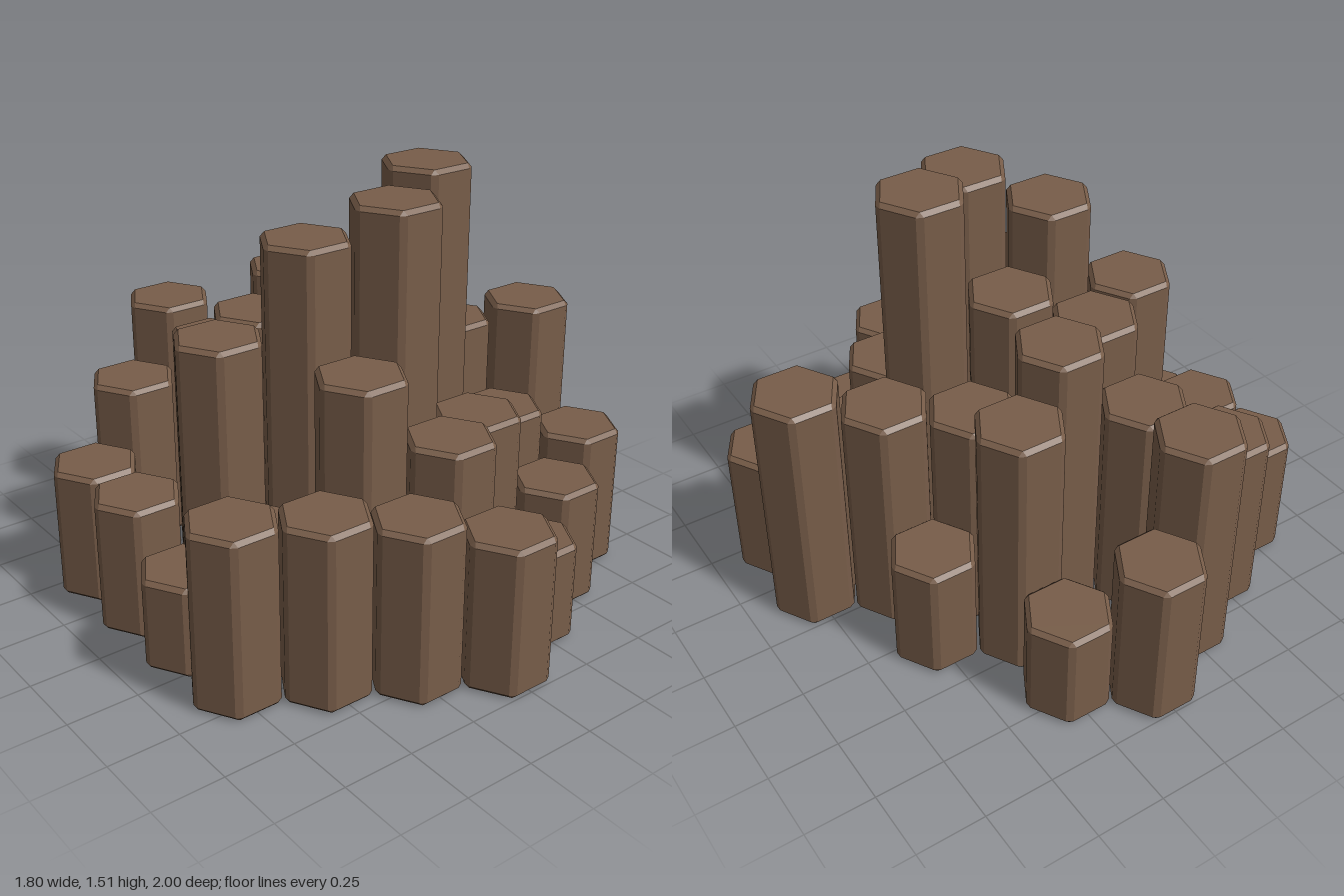
import * as THREE from 'three';
import { ConvexGeometry } from 'three/addons/geometries/ConvexGeometry.js';

const STEP = 0.287;                      // distance between neighbouring columns
const DX = STEP * Math.sqrt(3) / 2;
const APOTHEM = 0.1385, BEVEL = 0.015;

// Hexagon corners, flat sides facing +z and -z
function hexCorners(apothem, y) {
  const r = apothem / Math.cos(Math.PI / 6);
  return Array.from({ length: 6 }, (_, i) =>
    new THREE.Vector3(r * Math.cos(i * Math.PI / 3), y, r * Math.sin(i * Math.PI / 3)));
}

// Hexagon with each corner cut back by the bevel
function cutHex(y) {
  const c = hexCorners(APOTHEM, y);
  const side = c[0].distanceTo(c[1]);
  return c.flatMap((p, i) => [c[(i + 5) % 6], c[(i + 1) % 6]]
    .map(q => p.clone().lerp(q, BEVEL / side)));
}

// Hexagonal prism with all edges chamfered
function columnGeometry(h) {
  return new ConvexGeometry([
    ...hexCorners(APOTHEM - BEVEL, 0), ...cutHex(BEVEL),
    ...cutHex(h - BEVEL), ...hexCorners(APOTHEM - BEVEL, h),
  ]);
}

// Column heights per row of x, from back to front; 0 marks a gap
const rows = [
  { i: -3, z: -1.5, heights: [0.48, 0.48, 0.33, 0.63] },
  { i: -2, z: -2, heights: [0.69, 0, 1.025, 0.455, 0.63] },
  { i: -1, z: -2.5, heights: [0.9, 0.84, 1.02, 1.345, 0.975, 0.6] },
  { i: 0, z: -3, heights: [0.585, 0, 1.09, 1.13, 1.46, 0.745, 0.535] },
  { i: 1, z: -2.5, heights: [0.38, 0.96, 0.835, 1.515, 0.71, 0.355] },
  { i: 2, z: -1, heights: [0.44, 0.865, 0.61, 0.44] },
  { i: 3, z: 0.5, heights: [0.925, 0.52] },
];

export function createModel() {
  const model = new THREE.Group();
  model.name = 'basaltColumns';
  const stone = new THREE.MeshStandardMaterial({ color: 0x785d49 });
  stone.name = 'brownStone';

  for (const { i, z, heights } of rows) {
    heights.forEach((h, k) => {
      if (!h) return;
      const column = new THREE.Mesh(columnGeometry(h), stone);
      column.name = 'hexColumn';
      column.position.set(i * DX, 0, (z + k) * STEP);
      model.add(column);
    });
  }
  return model;
}
